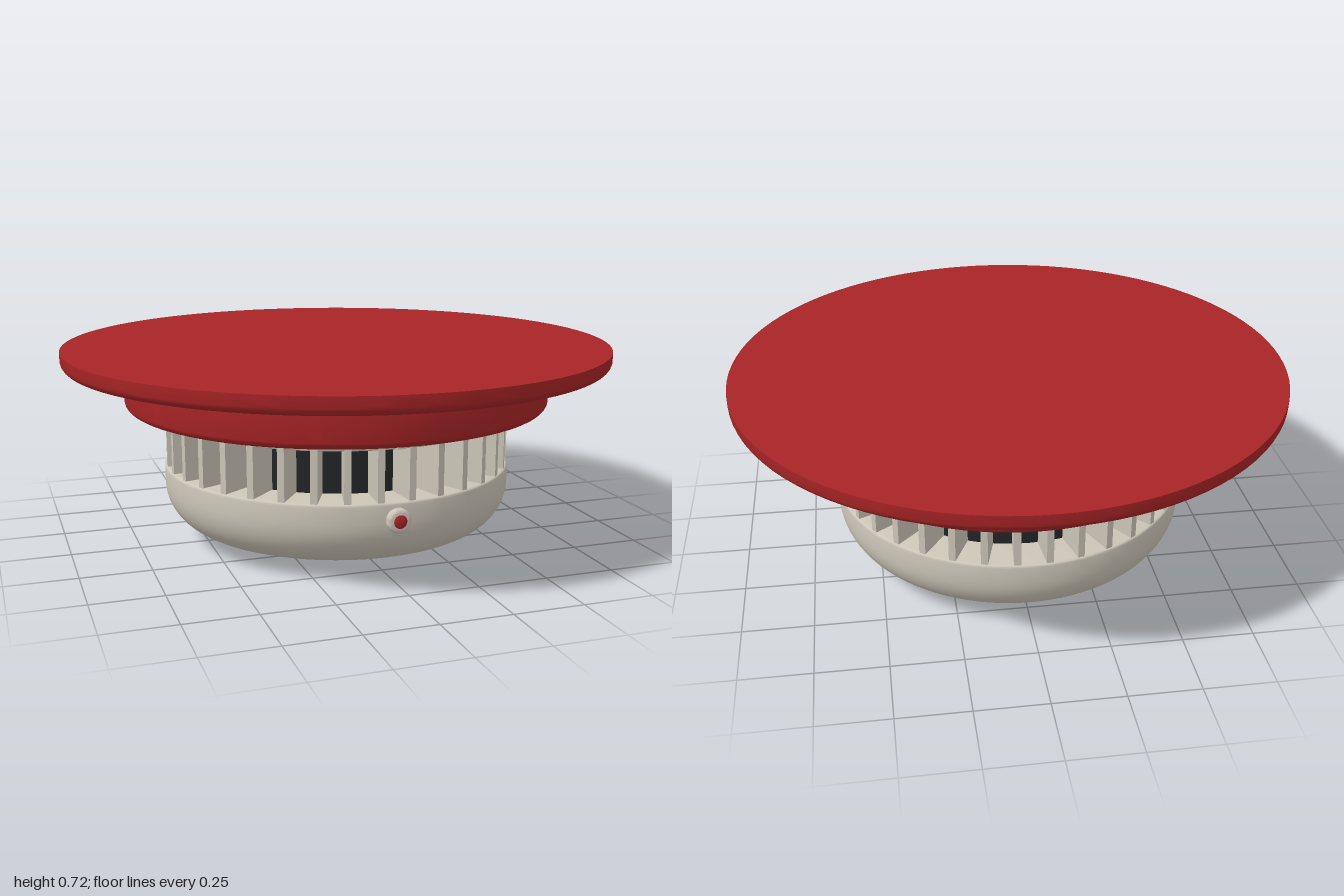
import * as THREE from 'three';
import { toCreasedNormals } from 'three/addons/utils/BufferGeometryUtils.js';

const red = new THREE.MeshStandardMaterial({ color: 0xa82426 });
red.name = 'red';
const beige = new THREE.MeshStandardMaterial({ color: 0xcbc5b7 });
beige.name = 'warm grey';
const dark = new THREE.MeshStandardMaterial({ color: 0x222426 });
dark.name = 'charcoal';

// Points of a rounded corner, from angle a0 to a1 in degrees
function arc(cx, cy, rx, ry, a0, a1, n = 7) {
  return Array.from({ length: n + 1 }, (_, i) => {
    const a = THREE.MathUtils.degToRad(a0 + ((a1 - a0) * i) / n);
    return [cx + rx * Math.cos(a), cy + ry * Math.sin(a)];
  });
}

function add(group, name, geometry, material, x = 0, y = 0, z = 0) {
  const mesh = new THREE.Mesh(geometry, material);
  mesh.name = name;
  mesh.position.set(x, y, z);
  group.add(mesh);
  return mesh;
}

// Turned part; the profile runs from bottom to top
function turned(group, name, profile, material, segments = 96) {
  const points = profile.map(([r, y]) => new THREE.Vector2(r, y));
  const geometry = toCreasedNormals(new THREE.LatheGeometry(points, segments), 0.5);
  return add(group, name, geometry, material);
}

// Disc with rounded rims
function disc(r, y0, y1, bottom, top) {
  return [
    [0, y0],
    ...arc(r - bottom, y0 + bottom, bottom, bottom, -90, 0),
    ...arc(r - top, y1 - top, top, top, 0, 90),
    [0, y1],
  ];
}

export function createModel() {
  const model = new THREE.Group();
  model.name = 'ceilingDetector';

  // Ceiling plate and mounting base
  turned(model, 'ceilingPlate', [
    [0, 0.655], ...arc(0.965, 0.69, 0.035, 0.035, -90, 0), [1, 0.72], [0, 0.72],
  ], red);
  turned(model, 'mountingBase', disc(0.78, 0.5, 0.656, 0.03, 0.03), red);
  add(model, 'releaseButton', new THREE.CapsuleGeometry(0.024, 0.05, 6, 16).rotateZ(Math.PI / 2),
    red, 0.03, 0.565, -0.782);

  // Collar above the vents
  turned(model, 'collar', disc(0.635, 0.462, 0.502, 0.006, 0.01), beige);
  add(model, 'alignmentTab', new THREE.BoxGeometry(0.02, 0.03, 0.04), beige, 0, 0.482, 0.638);

  // Dark sensing chamber behind the vents
  add(model, 'sensingChamber', new THREE.CylinderGeometry(0.51, 0.51, 0.2, 72), dark, 0, 0.375, 0);

  // Ring of radial vent fins
  const fins = new THREE.Group();
  fins.name = 'ventFins';
  const finCount = 36;
  const finGeometry = new THREE.BoxGeometry(0.024, 0.19, 0.135).translate(0, 0.375, 0.5685);
  for (let i = 0; i < finCount; i++) {
    add(fins, 'ventFin', finGeometry, beige).rotation.y = ((i + 0.5) / finCount) * Math.PI * 2;
  }
  model.add(fins);

  // Lower housing with shallow rings around a raised centre
  turned(model, 'lowerHousing', [
    [0, 0.033], [0.335, 0.033], [0.34, 0.037], [0.35, 0.037], [0.355, 0.034],
    [0.405, 0.037], [0.41, 0.044], [0.425, 0.044], [0.43, 0.04],
    ...arc(0.47, 0.215, 0.172, 0.17, -90, 0, 14),
    ...arc(0.632, 0.275, 0.01, 0.01, 0, 90, 4), [0, 0.285],
  ], beige);
  turned(model, 'centreCap', [
    [0, 0.004], [0.1, 0], [0.17, 0.004], ...arc(0.18, 0.024, 0.022, 0.02, -80, 0), [0.205, 0.036],
  ], beige);

  // Indicator lamp on the front
  const bezel = turned(model, 'lampBezel', disc(0.042, 0, 0.04, 0.004, 0.01), beige, 32);
  bezel.position.set(0, 0.225, 0.628);
  bezel.rotation.x = Math.PI / 2;
  const lamp = add(model, 'indicatorLamp', new THREE.SphereGeometry(0.025, 24, 12), red, 0, 0.225, 0.665);
  lamp.scale.z = 0.35;

  return model;
}
